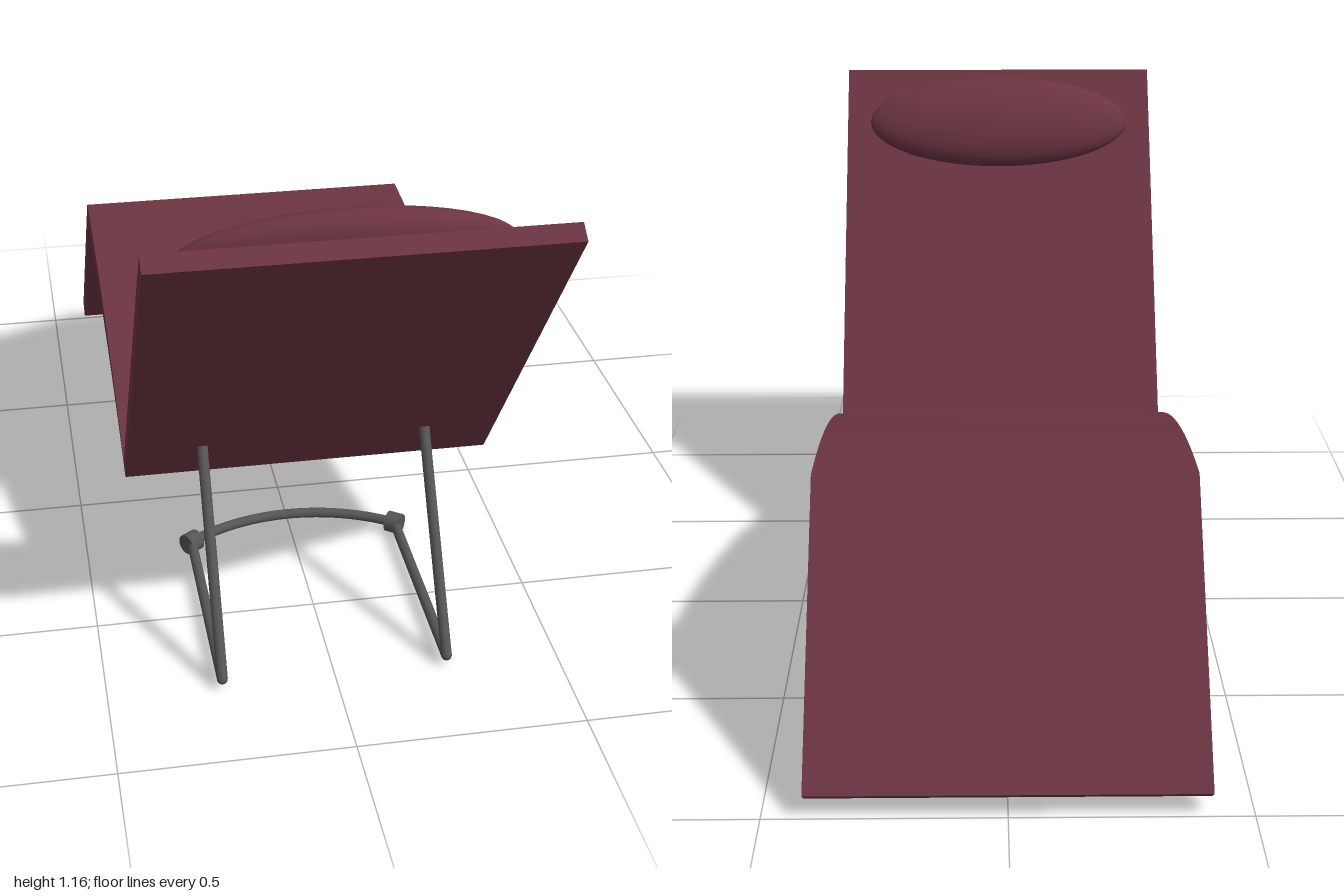
import * as THREE from 'three';
import { toCreasedNormals } from 'three/addons/utils/BufferGeometryUtils.js';

const WIDTH = 0.83;
const fabric = new THREE.MeshStandardMaterial({ color: 0x6b3441 });
const metal = new THREE.MeshStandardMaterial({ color: 0x555555 });

function addMesh(parent, name, geometry, material) {
  const mesh = new THREE.Mesh(geometry, material);
  mesh.name = name;
  parent.add(mesh);
  return mesh;
}

// Side profile drawn with shape x = -z, extruded across the chair's width
function panel(shape) {
  const geo = new THREE.ExtrudeGeometry(shape, { depth: WIDTH, bevelEnabled: false, curveSegments: 24 });
  geo.rotateY(Math.PI / 2).translate(-WIDTH / 2, 0, 0);
  return toCreasedNormals(geo, 0.4);
}

function polygon(points) {
  return new THREE.Shape(points.map(([z, y]) => new THREE.Vector2(-z, y)));
}

// Round bar between two points
function bar(a, b, radius, sides = 16) {
  const dir = b.clone().sub(a);
  const geo = new THREE.CylinderGeometry(radius, radius, dir.length(), sides);
  geo.applyQuaternion(new THREE.Quaternion().setFromUnitVectors(new THREE.Vector3(0, 1, 0), dir.normalize()));
  const mid = a.clone().add(b).multiplyScalar(0.5);
  return geo.translate(mid.x, mid.y, mid.z);
}

export function createModel() {
  const model = new THREE.Group();
  model.name = 'loungeChair';

  // Upholstered panels
  addMesh(model, 'backrest', panel(polygon([[1, 1.138], [0.406, 0.334], [0.374, 0.36], [0.967, 1.163]])), fabric);

  const seat = new THREE.Shape();
  seat.moveTo(-0.406, 0.334);
  seat.quadraticCurveTo(0.09, 0.51, 0.567, 0.505);
  seat.lineTo(0.561, 0.57);
  seat.quadraticCurveTo(0.093, 0.556, -0.374, 0.36);
  addMesh(model, 'seat', panel(seat), fabric);

  addMesh(model, 'legRest', panel(polygon([[-0.567, 0.505], [-0.965, 0.027], [-1, 0.053], [-0.561, 0.57]])), fabric);

  // Head cushion
  const cushion = addMesh(model, 'headCushion', new THREE.SphereGeometry(1, 48, 32), fabric);
  cushion.scale.set(0.348, 0.123, 0.064);
  cushion.rotation.x = 0.47;
  cushion.position.set(0, 1.05, 0.803);

  // Tubular base
  const base = new THREE.Group();
  base.name = 'base';
  model.add(base);
  const R = 0.012, floorY = 0.026, legX = 0.25, jointZ = 0.24;

  // Front cross bar: circular arc through both joints
  const sagitta = 0.08;
  const arcR = (legX * legX + sagitta * sagitta) / (2 * sagitta);
  const half = Math.asin(legX / arcR);
  const arcPoint = (a) => new THREE.Vector3(
    arcR * Math.sin(a), floorY, jointZ - sagitta + arcR * (1 - Math.cos(a)));
  const points = Array.from({ length: 13 }, (_, i) => arcPoint(-half + (2 * half * i) / 12));
  addMesh(base, 'curvedCrossBar', new THREE.TubeGeometry(new THREE.CatmullRomCurve3(points), 40, R, 16), metal);

  for (const side of [-1, 1]) {
    const name = side > 0 ? 'left' : 'right';
    const x = side * legX;
    const heel = new THREE.Vector3(x, floorY, 0.765);
    const joint = new THREE.Vector3(x, floorY, jointZ);
    addMesh(base, name + 'Upright', bar(new THREE.Vector3(x, 0.45, 0.49), heel, R), metal);
    addMesh(base, name + 'Runner', bar(heel, joint, R), metal);
    addMesh(base, name + 'Heel', new THREE.SphereGeometry(R, 16, 12), metal).position.copy(heel);
    // Collar aligned with the arc's end
    const along = new THREE.Vector3(Math.cos(half), 0, side * Math.sin(half)).multiplyScalar(0.018);
    addMesh(base, name + 'Collar', bar(joint.clone().sub(along), joint.clone().add(along), 0.025, 20), metal);
  }
  return model;
}
